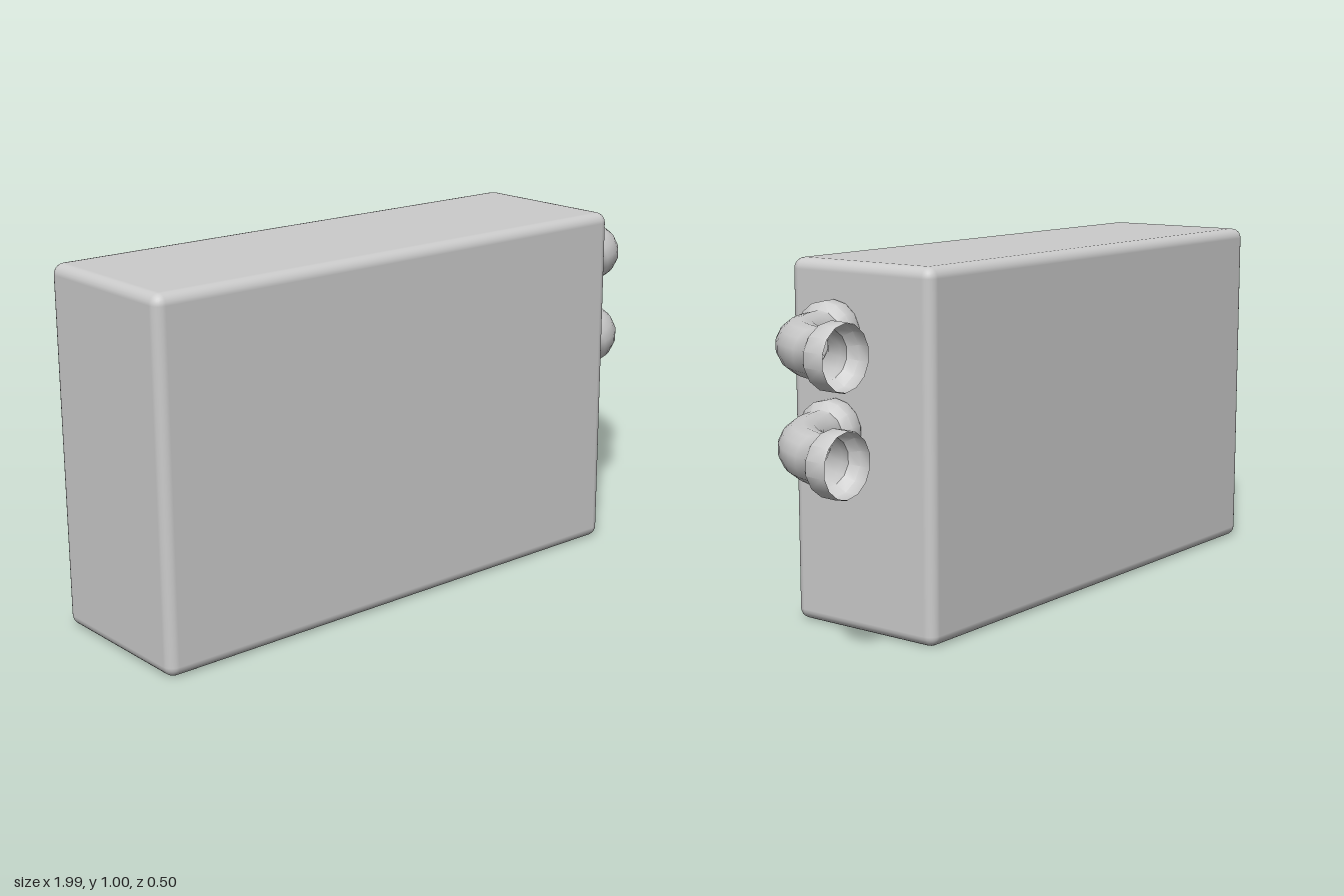
import * as THREE from 'three';
import { RoundedBoxGeometry } from 'three/addons/geometries/RoundedBoxGeometry.js';
import { toCreasedNormals } from 'three/addons/utils/BufferGeometryUtils.js';

const FACE_X = 0.575;   // side of the body the pipes leave from
const BACK_Z = -0.25;   // plane of the open pipe mouths
const BEND = 0.335;     // radius of the quarter bend

// Pipe with a flared collar at both ends: a turned profile bent through 90 degrees
function bentPipe() {
  const tube = 0.066, collar = 0.087;
  const profile = [[collar - 0.003, 0], [collar, 0.02], [collar, 0.15], [tube, 0.23]];
  const steps = 10;
  for (let i = 1; i < steps; i++) profile.push([tube, 0.23 + (Math.PI / 2 - 0.46) * i / steps]);
  for (const [r, a] of profile.slice(0, 4).reverse()) profile.push([r, Math.PI / 2 - a]);

  const geometry = new THREE.LatheGeometry(profile.map(([r, a]) => new THREE.Vector2(r, a)), 14);
  const p = geometry.attributes.position;
  for (let i = 0; i < p.count; i++) {
    const angle = p.getY(i), radius = BEND + p.getX(i), up = p.getZ(i);
    p.setXYZ(i, FACE_X + radius * Math.sin(angle), up, BACK_Z + radius * Math.cos(angle));
  }
  return toCreasedNormals(geometry, 0.7);
}

export function createModel() {
  const model = new THREE.Group();
  model.name = 'boxWithPipes';
  const grey = new THREE.MeshStandardMaterial({ color: 0xcccccc });
  const thin = new THREE.MeshStandardMaterial({ color: 0xcccccc, side: THREE.DoubleSide });

  // Body with softly rounded edges
  const body = new THREE.Mesh(new RoundedBoxGeometry(1.575, 1, 0.486, 3, 0.03), grey);
  body.name = 'body';
  body.position.set(-0.2125, 0.5, 0.006);
  model.add(body);

  // Two identical pipes, one above the other
  const pipe = bentPipe();
  [['upperPipe', 0.812], ['lowerPipe', 0.549]].forEach(([name, y]) => {
    const mesh = new THREE.Mesh(pipe, thin);
    mesh.name = name;
    mesh.position.y = y;
    model.add(mesh);
  });
  return model;
}
